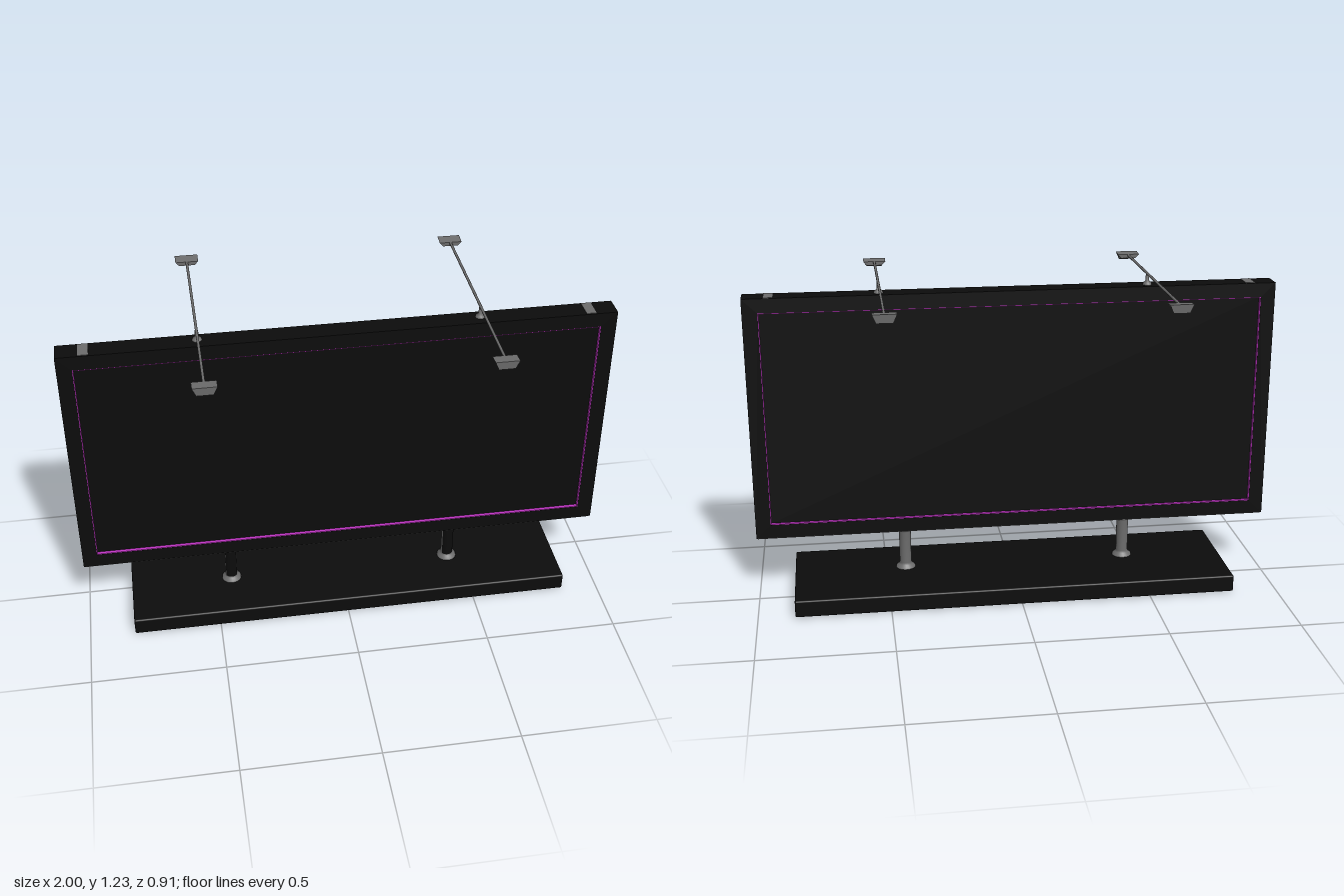
import * as THREE from 'three';
import { RoundedBoxGeometry } from 'three/addons/geometries/RoundedBoxGeometry.js';

export function createModel() {
  const group = new THREE.Group();
  const black = new THREE.MeshStandardMaterial({ color: 0x0c0c0c });
  black.name = 'black';
  const grey = new THREE.MeshStandardMaterial({ color: 0x6c6c6c });
  grey.name = 'metalGrey';
  const magenta = new THREE.MeshStandardMaterial({ color: 0xc436c8 });
  magenta.name = 'magenta';

  function add(name, geometry, material, x = 0, y = 0, z = 0, parent = group) {
    const mesh = new THREE.Mesh(geometry, material);
    mesh.name = name;
    mesh.position.set(x, y, z);
    parent.add(mesh);
    return mesh;
  }
  const box = (w, h, d) => new THREE.BoxGeometry(w, h, d);

  // Base slab on a shallow foot
  add('base', new RoundedBoxGeometry(1.69, 0.066, 0.464, 2, 0.006), black, 0.016, 0.037, 0.04);
  add('baseFoot', box(1.62, 0.01, 0.37), black, 0.016, 0.005, 0.035);

  // Panel frame with a rectangular opening
  const bottom = 0.235, top = 1.175, zMid = 0.079, depth = 0.082;
  const rect = (Type, x0, y0, x1, y1) => {
    const p = new Type();
    p.moveTo(x0, y0);
    p.lineTo(x1, y0);
    p.lineTo(x1, y1);
    p.lineTo(x0, y1);
    p.closePath();
    return p;
  };
  const frame = rect(THREE.Shape, -1, bottom, 1, top);
  frame.holes.push(rect(THREE.Path, -0.945, 0.288, 0.943, 1.12));
  add('panelFrame', new THREE.ExtrudeGeometry(frame, { depth, bevelEnabled: false }),
    black, 0, 0, zMid - depth / 2);

  // Display sheet set back from both faces
  const cx = -0.001, cy = 0.704, w = 1.888, h = 0.832;
  add('display', box(w, h, depth - 0.026), black, cx, cy, zMid);

  // Magenta lining of the opening
  const t = 0.003, lining = depth - 0.002;
  for (const s of [-1, 1]) {
    add('liningSide', box(t, h, lining), magenta, cx + s * (w - t) / 2, cy, zMid);
    add('liningEdge', box(w, t, lining), magenta, cx, cy + s * (h - t) / 2, zMid);
  }

  // Metal strips on the top and the metal underside
  for (const s of [-1, 1]) {
    add('topStrip', box(0.036, 0.004, 0.074), grey, s * 0.903, top, zMid);
  }
  add('underside', box(1.99, 0.004, 0.078), grey, 0, bottom - 0.001, zMid);

  // Posts with flared ends and a dark front strip
  const profile = [[0.038, 0.068], [0.037, 0.076], [0.027, 0.084], [0.023, 0.092],
    [0.023, 0.222], [0.03, 0.23], [0.032, 0.236]].map(([r, y]) => new THREE.Vector2(r, y));
  for (const x of [-0.438, 0.43]) {
    add('post', new THREE.LatheGeometry(profile, 24), grey, x, 0, 0.074);
    add('postFrontStrip', new THREE.CylinderGeometry(0.0242, 0.0242, 0.142, 12, 1, true, -1.05, 2.1),
      black, x, 0.157, 0.074);
  }

  // Lamp head: a box narrowed below, deeper toward its outer end
  const headGeometry = box(0.085, 0.03, 0.046).toNonIndexed();
  const p = headGeometry.attributes.position;
  for (let i = 0; i < p.count; i++) {
    const outer = p.getZ(i) > 0;
    if (p.getY(i) < 0) {
      p.setX(i, p.getX(i) * 0.68);
      p.setY(i, outer ? -0.016 : -0.004);
      if (outer) p.setZ(i, 0.021);
    } else if (!outer) {
      p.setY(i, 0.011);
    }
  }
  headGeometry.computeVertexNormals();

  // Lamp assemblies: stem, cross bar and a head at each end
  const stem = [[0.018, 1.174], [0.016, 1.182], [0.007, 1.19], [0.006, 1.216]]
    .map(([r, y]) => new THREE.Vector2(r, y));
  for (const x of [-0.509, 0.502]) {
    const lamp = new THREE.Group();
    lamp.name = 'lampAssembly';
    group.add(lamp);
    add('lampStem', new THREE.LatheGeometry(stem, 12), grey, x, 0, 0.074, lamp);
    const bar = add('lampBar', new THREE.CylinderGeometry(0.005, 0.005, 0.84, 10), grey, x, 1.217, 0, lamp);
    bar.rotation.x = Math.PI / 2;
    for (const s of [-1, 1]) {
      const head = add('lampHead', headGeometry, grey, x, 1.21, s * 0.433, lamp);
      if (s < 0) head.rotation.y = Math.PI;
    }
  }
  return group;
}
